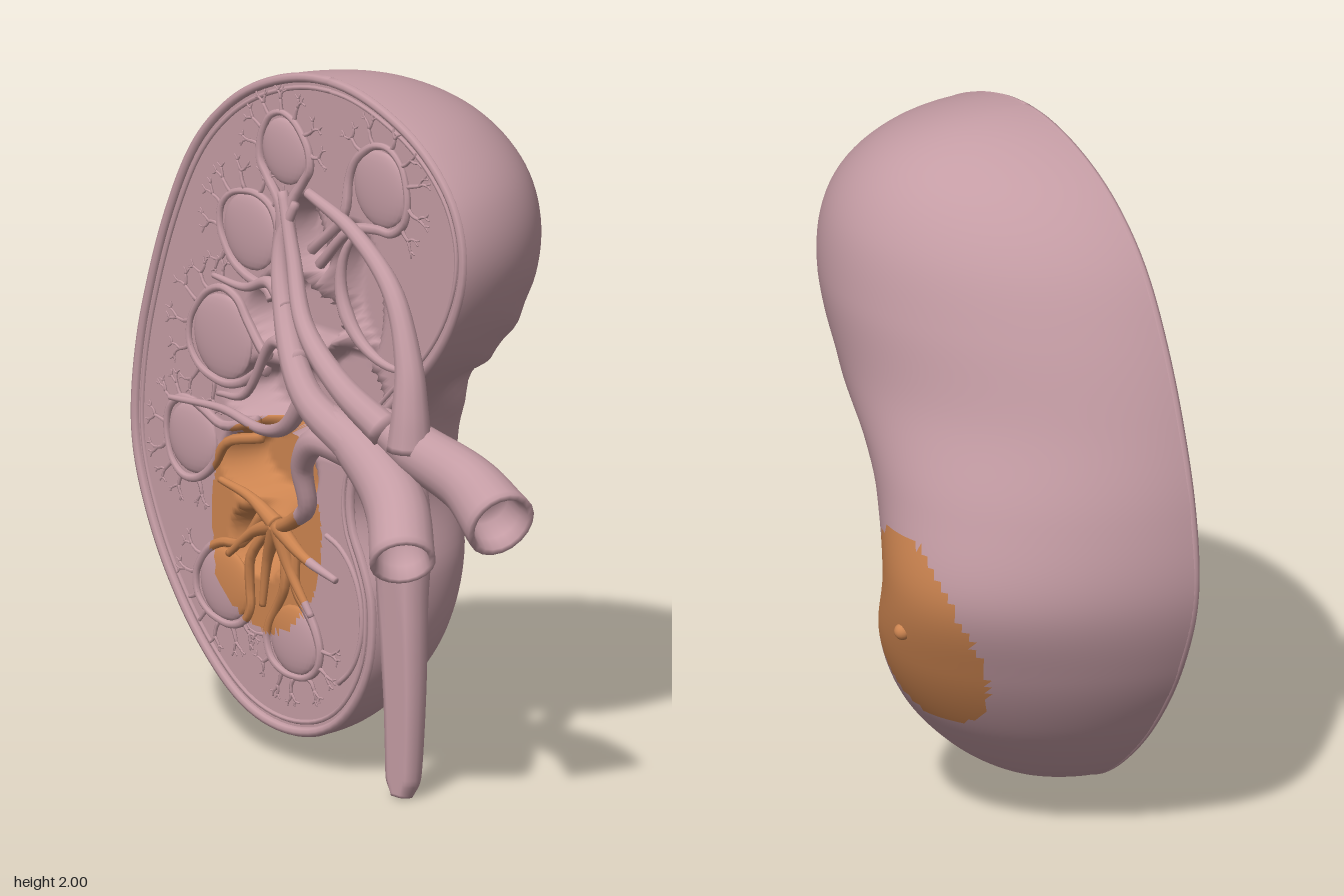
import * as THREE from 'three';
import { mergeGeometries } from 'three/addons/utils/BufferGeometryUtils.js';

const V = (x, y, z = 0) => new THREE.Vector3(x, y, z);
const FACE = 0.145; // z of the cut face

// Horizontal slices from top to bottom: left x, right x, deepest z
const slices = new THREE.CatmullRomCurve3([
  V(0, 0, 0.13), V(-0.2, 0.2, -0.09), V(-0.4, 0.4, -0.265), V(-0.56, 0.535, -0.37), V(-0.67, 0.56, -0.41),
  V(-0.755, 0.45, -0.415), V(-0.815, 0.2, -0.45), V(-0.825, 0.09, -0.48), V(-0.75, 0.175, -0.43),
  V(-0.63, 0.175, -0.33), V(-0.49, 0.1, -0.19), V(-0.345, -0.02, -0.04), V(-0.18, -0.18, 0.1),
], false, 'catmullrom');
const sliceY = (v) => 1.043 + 0.957 * Math.cos(Math.PI * v);

function build(positions, index) {
  const g = new THREE.BufferGeometry();
  g.setAttribute('position', new THREE.Float32BufferAttribute(positions, 3));
  g.setIndex(index);
  g.computeVertexNormals();
  return g;
}

function grid(nu, nv, fn) {
  const pos = [], idx = [];
  for (let j = 0; j <= nv; j++) for (let i = 0; i <= nu; i++) {
    pos.push(...fn(i / nu, j / nv));
    if (i === nu || j === nv) continue;
    const a = j * (nu + 1) + i, c = a + nu + 1;
    idx.push(a, c, a + 1, c, c + 1, a + 1);
  }
  return build(pos, idx);
}

// Tapered tube through points; hollow tubes get a lip and a bore at the far end
function sweep(points, radii, { n = 24, sides = 10, hollow = false, zMax = 9 } = {}) {
  const curve = new THREE.CatmullRomCurve3(points);
  const rings = [[0, 0]];
  for (let i = 0; i <= n; i++) rings.push([i, 1]);
  if (hollow) rings.push([n, 0.82], [n - 2, 0.76], [n - 5, 0.7]);
  rings.push([hollow ? n - 5 : n, 0]);
  const pos = [], idx = [];
  rings.forEach(([k, scale], i) => {
    const t = k / n, c = curve.getPoint(t), T = curve.getTangent(t);
    const N = V(0, 0, 1).cross(T).normalize(), B = T.clone().cross(N);
    const f = t * (radii.length - 1), m = Math.min(Math.floor(f), radii.length - 2);
    const r = scale * THREE.MathUtils.lerp(radii[m], radii[m + 1], f - m);
    for (let j = 0; j < sides; j++) {
      const a = (j / sides) * Math.PI * 2;
      const p = c.clone().addScaledVector(N, r * Math.cos(a)).addScaledVector(B, r * Math.sin(a));
      pos.push(p.x, p.y, Math.min(p.z, zMax));
      if (i === rings.length - 1) continue;
      const q = i * sides + j, s = i * sides + ((j + 1) % sides);
      idx.push(q, s, q + sides, s, s + sides, q + sides);
    }
  });
  return build(pos, idx);
}

// Rounded back half with a puckered notch on the inner side
function backPoint(u, v) {
  const s = slices.getPoint(v), y = sliceY(v), t = Math.PI * u;
  const half = (s.y - s.x) / 2, sin = Math.sin(t);
  const side = Math.exp(-(((u - 0.2) / 0.13) ** 2)) * Math.min(1, sin * 2);
  const notch = 0.04 * Math.exp(-(((y - 1.1) / 0.08) ** 2));
  const wrinkle = 0.014 * Math.sin(y * 42 + u * 25) * Math.exp(-(((y - 1.15) / 0.19) ** 2));
  const x = (s.x + s.y) / 2 + half * (Math.cos(t) + 0.14 * sin) - side * (notch + wrinkle);
  return [x, y, FACE - (FACE - s.z) * Math.max(sin, 0) ** 1.12];
}

// Hollows in the cut face: centre x, y, half width, half height
const hollows = [
  [-0.13, 1.5, 0.1, 0.13], [-0.17, 1.28, 0.17, 0.11], [-0.2, 1.03, 0.24, 0.1], [-0.26, 0.83, 0.2, 0.12],
  [0.08, 1.38, 0.13, 0.22], [0.02, 1.08, 0.2, 0.16], [-0.3, 0.61, 0.12, 0.09],
];
function facePoint(u, v) {
  const s = slices.getPoint(v), y = sliceY(v), x = s.x + (s.y - s.x) * u;
  const depths = hollows.map(([hx, hy, w, h]) =>
    0.12 * (1 - THREE.MathUtils.smoothstep(Math.hypot((x - hx) / w, (y - hy) / h), 0.7, 1.05)));
  return [x, y, FACE - Math.max(...depths) * Math.min(1, Math.sin(Math.PI * u) * 3)];
}
function insideFace(x, y, margin) {
  const c = (y - 1.043) / 0.957;
  if (Math.abs(c) > 0.97) return false;
  const s = slices.getPoint(Math.acos(c) / Math.PI);
  return x > s.x + margin && x < s.y - margin;
}

// Outline of the cut face, moved inward
function outline(inset) {
  const pts = [], n = 30;
  for (let i = 0; i < n; i++) pts.push(V(slices.getPoint(i / n).y, sliceY(i / n)));
  for (let i = n; i > 0; i--) pts.push(V(slices.getPoint(i / n).x, sliceY(i / n)));
  const c = new THREE.CatmullRomCurve3(pts, true);
  return Array.from({ length: 81 }, (_, i) => {
    const p = c.getPointAt((i % 80) / 80), t = c.getTangentAt((i % 80) / 80);
    return V(p.x + t.y * inset, p.y - t.x * inset, FACE);
  });
}

// Pyramids: centre x, y, radius
const pyramids = [
  [-0.19, 1.75, 0.105], [0.21, 1.725, 0.122], [-0.335, 1.49, 0.122], [-0.45, 1.165, 0.135],
  [-0.575, 0.85, 0.112], [-0.44, 0.46, 0.115], [-0.15, 0.36, 0.11],
];

let seed = 7;
const rand = () => (seed = (seed * 16807) % 2147483647) / 2147483647;

// Forking capillaries that lie on the cut face and stop short of the rim
function twig(out, x, y, angle, len, r, level) {
  const bend = angle + (rand() - 0.5) * 1.2;
  const mx = x + Math.cos(bend) * len * 0.5, my = y + Math.sin(bend) * len * 0.5;
  const ex = mx + Math.cos(angle) * len * 0.5, ey = my + Math.sin(angle) * len * 0.5;
  if (!insideFace(ex, ey, 0.05)) return;
  const z = FACE + 0.006;
  out.push(sweep([V(x, y, z), V(mx, my, z), V(ex, ey, z)], [r, r * 0.7], { n: 4, sides: 5 }));
  if (level === 0) return;
  for (const d of [-0.6, 0.55]) twig(out, ex, ey, angle + d * (0.5 + rand()), len * 0.6, r * 0.7, level - 1);
}

// Vessels stand furthest off the face around the inner notch
const vesselPoint = ([x, y]) => V(x, y, 0.155 + 0.14 * Math.exp(-((Math.hypot(x - 0.13, y - 1.07) / 0.4) ** 2)));
const branch = (r0, r1, ...points) =>
  sweep(points.map(vesselPoint), [r0, (r0 + r1) * 0.42, r1], { n: 32, sides: 12 });

export function createModel() {
  const model = new THREE.Group();
  const flesh = new THREE.MeshStandardMaterial({ color: 0xc49ca4, side: THREE.DoubleSide });
  const patch = new THREE.MeshStandardMaterial({ color: 0xcc8450, side: THREE.DoubleSide });

  // Adds a part, giving triangles inside the oval patch their own mesh
  function add(name, geometry) {
    const p = geometry.attributes.position, src = geometry.index.array, lists = [[], []];
    for (let i = 0; i < src.length; i += 3) {
      const tri = [src[i], src[i + 1], src[i + 2]];
      const x = tri.reduce((s, k) => s + p.getX(k) / 3, 0), y = tri.reduce((s, k) => s + p.getY(k) / 3, 0);
      lists[Math.hypot((x + 0.27) / 0.23, (y - 0.66) / 0.3) < 1 ? 1 : 0].push(...tri);
    }
    lists.forEach((list, k) => {
      if (!list.length) return;
      const g = geometry.clone();
      g.setIndex(list);
      const mesh = new THREE.Mesh(g, k ? patch : flesh);
      mesh.name = k ? name + 'Patch' : name;
      model.add(mesh);
    });
  }

  // Body
  add('outerBody', grid(72, 100, backPoint));
  add('cutFace', grid(110, 140, facePoint));
  add('capsuleRim', sweep(outline(0.012), [0.014, 0.014], { n: 160, sides: 8 }));
  add('cortexLine', sweep(outline(0.04), [0.007, 0.007], { n: 160, sides: 6 }));

  // Pyramids, the cords looping round them from the centre, and capillaries
  const domes = [], cords = [], twigs = [];
  for (const [x, y, r] of pyramids) {
    const dome = new THREE.SphereGeometry(1, 24, 12).scale(r * 0.9, r * 0.9, 0.02).translate(x, y, FACE);
    dome.deleteAttribute('uv');
    domes.push(dome);
    const hub = V(-0.11 + x * 0.3, 0.41 + y * 0.62, 0.16), a = Math.atan2(hub.y - y, hub.x - x);
    const around = (b, d, z) => V(x + Math.cos(b) * d, y + Math.sin(b) * d, z);
    const neck = around(a, r * 1.4, 0.16), offset = V(-Math.sin(a), Math.cos(a)).multiplyScalar(0.024);
    const loop = [hub.clone().add(offset), neck.clone().add(offset)];
    for (let k = 0; k <= 10; k++) {
      const b = a + 0.75 + (k / 10) * (Math.PI * 2 - 1.5);
      loop.push(around(b, r * (1 + 0.06 * Math.sin(3 * b + x * 20)), FACE + 0.006));
    }
    loop.push(neck.sub(offset), hub.sub(offset));
    cords.push(sweep(loop, [0.016, 0.009, 0.016], { n: 56, sides: 7 }));
    for (let k = -3; k <= 3; k++) {
      const b = a + Math.PI + k * 0.5, start = around(b, r, 0);
      twig(twigs, start.x, start.y, b, r * 0.42, 0.007, 2);
    }
  }
  add('pyramids', mergeGeometries(domes));
  add('pyramidCords', mergeGeometries(cords));
  add('capillaries', mergeGeometries(twigs));

  // Curved folds bordering the two poles
  const arc = (cx, cy, rx, ry, from, to) => Array.from({ length: 9 }, (_, i) => {
    const a = from + (to - from) * (i / 8);
    return V(cx + rx * Math.cos(a), cy + ry * Math.sin(a), FACE);
  });
  add('upperFold', sweep(arc(0.28, 1.43, 0.24, 0.21, 2.3, 4.9), [0.008, 0.022, 0.008]));
  add('lowerFold', sweep(arc(-0.05, 0.47, 0.18, 0.22, 1.4, -1.1), [0.008, 0.008]));

  // Drain tube, flat where it is cut
  add('ureter', sweep(
    [V(-0.06, 0.96, 0.04), V(0.14, 0.92, 0.07), V(0.235, 0.76, 0.095), V(0.27, 0.55, 0.12), V(0.29, 0.28, 0.13), V(0.29, 0.05, 0.135), V(0.29, 0.004, 0.14)],
    [0.06, 0.095, 0.085, 0.072, 0.06, 0.05, 0.03], { n: 40, sides: 20, zMax: 0.165 }));

  // Main vessels with flared open ends
  const open = { n: 30, sides: 20, hollow: true };
  add('rearVessel', sweep([V(0.3, 1.1, 0.24), V(0.43, 1.04, 0.21), V(0.6, 0.965, 0.165), V(0.775, 0.893, 0.2)], [0.045, 0.075, 0.085, 0.102], open));
  add('frontVessel', sweep([V(0.1, 1.1, 0.29), V(0.27, 1.01, 0.27), V(0.44, 0.9, 0.295), V(0.58, 0.78, 0.39)], [0.04, 0.07, 0.088, 0.092], open));

  // Branches running up, across and down from the main vessels
  add('upperBranches', mergeGeometries([
    branch(0.065, 0.015, [0.43, 1.04], [0.43, 1.15], [0.41, 1.28], [0.32, 1.46], [0.14, 1.59], [-0.07, 1.66]),
    branch(0.05, 0.015, [0.36, 1.08], [0.2, 1.18], [0, 1.31], [-0.11, 1.48], [-0.18, 1.64]),
    branch(0.06, 0.012, [0.27, 1.01], [0.06, 1.13], [-0.12, 1.34], [-0.17, 1.5], [-0.12, 1.62]),
  ]));
  add('sideBranches', mergeGeometries([
    branch(0.03, 0.008, [0.06, 1.13], [-0.04, 1.02], [-0.2, 0.965], [-0.42, 0.97], [-0.66, 0.95]),
    branch(0.026, 0.008, [-0.1, 1.33], [-0.2, 1.38], [-0.32, 1.34], [-0.47, 1.34]),
    branch(0.025, 0.008, [0.01, 1.22], [-0.14, 1.23], [-0.3, 1.04], [-0.44, 1.01]),
  ]));
  add('lowerBranch', branch(0.05, 0.018, [0.27, 1], [0.11, 1.01], [0.02, 0.92], [0, 0.79], [-0.08, 0.73], [-0.18, 0.68]));

  // Small vessels fanning out from the end of the lower branch
  add('lowerFan', mergeGeometries([2.6, 3.4, 4.1, 4.9, 5.6].map((a) => branch(0.026, 0.01,
    ...[0, 0.13, 0.27].map((d) => [-0.18 + d * Math.cos(a + d), 0.69 + d * Math.sin(a + d)])))));

  // Small bead at the middle of the rear patch
  const bead = new THREE.Mesh(new THREE.SphereGeometry(0.024, 16, 12), patch);
  bead.name = 'rearBead';
  bead.position.set(-0.27, 0.66, -0.455);
  model.add(bead);
  return model;
}
